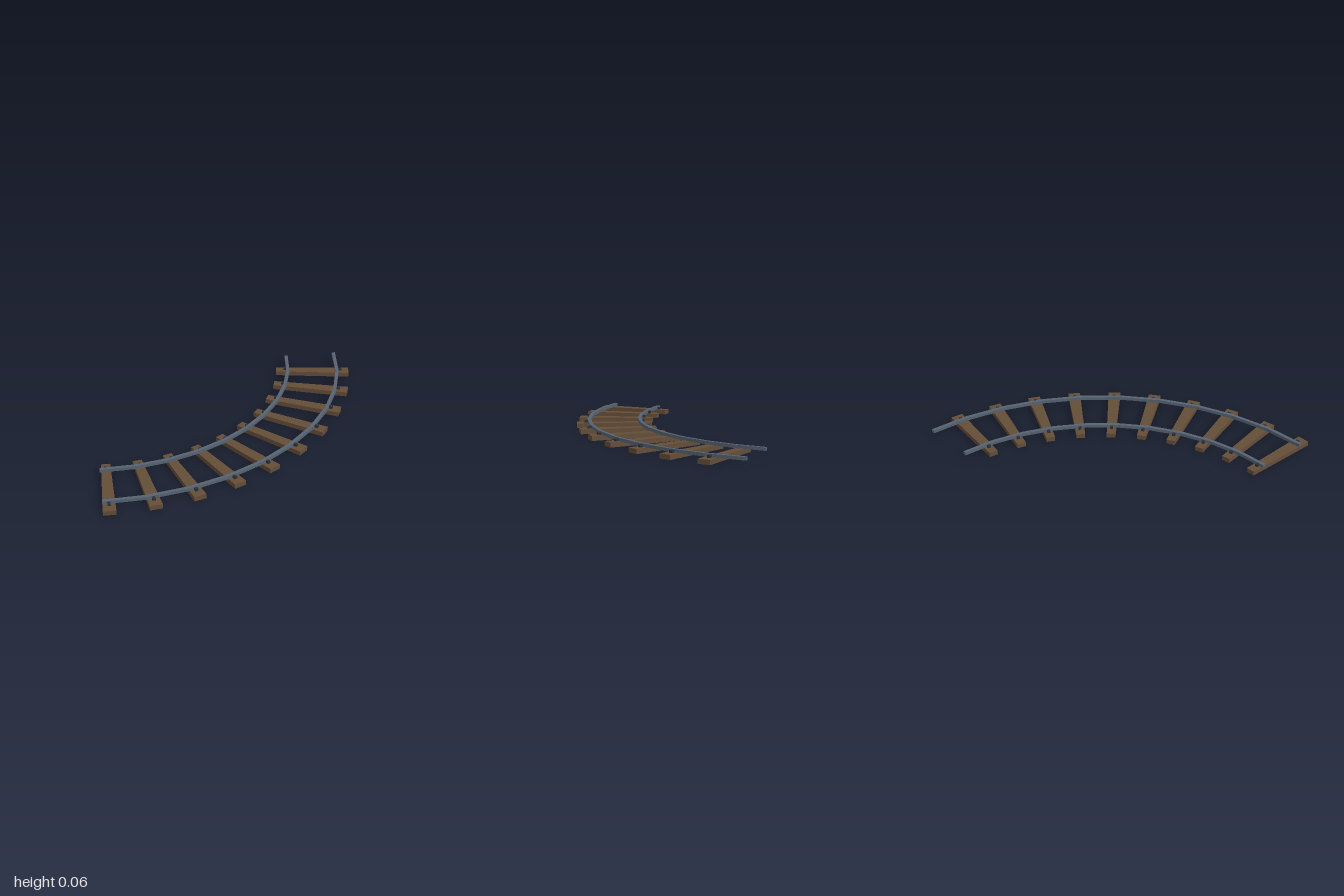
import * as THREE from 'three';

const CENTRE = { x: -0.955, z: -1.005 }; // centre of the bend
const STEP = THREE.MathUtils.degToRad(9);
const SLEEPERS = 10;
const SLEEPER_TOP = 0.034;

// Upright prism from plan points given as [x, z]
function prism(points, height) {
  const shape = new THREE.Shape(points.map(([x, z]) => new THREE.Vector2(x, -z)));
  const geometry = new THREE.ExtrudeGeometry(shape, { depth: height, bevelEnabled: false });
  return geometry.rotateX(-Math.PI / 2);
}

// Curved rail made of straight mitred segments
function railGeometry(radius, width, height) {
  const inner = [], outer = [];
  const start = -0.045 / radius;
  for (let i = 0; i <= SLEEPERS; i++) {
    const a = start + i * STEP;
    const r0 = radius - width / 2, r1 = radius + width / 2;
    inner.unshift([Math.sin(a) * r0, Math.cos(a) * r0]);
    outer.push([Math.sin(a) * r1, Math.cos(a) * r1]);
  }
  return prism([...outer, ...inner], height);
}

export function createModel() {
  const wood = new THREE.MeshStandardMaterial({ color: 0x644d38 });
  wood.name = 'brown wood';
  const steel = new THREE.MeshStandardMaterial({ color: 0x566372 });
  steel.name = 'blue grey steel';
  const iron = new THREE.MeshStandardMaterial({ color: 0x2d3039 });
  iron.name = 'dark iron';

  const track = new THREE.Group();
  track.name = 'curvedTrack';
  const bend = new THREE.Group();
  bend.name = 'bend';
  bend.position.set(CENTRE.x, 0, CENTRE.z);
  track.add(bend);

  const add = (parent, name, geometry, material, y, z = 0) => {
    const mesh = new THREE.Mesh(geometry, material);
    mesh.name = name;
    mesh.position.set(0, y, z);
    parent.add(mesh);
  };

  // Sleepers widen towards the outside; each carries two rail spikes
  const sleeper = prism([[-0.032, 1.405], [-0.045, 1.972], [0.045, 1.972], [0.032, 1.405]], SLEEPER_TOP);
  const spike = new THREE.BoxGeometry(0.022, 0.018, 0.032);
  for (let i = 0; i < SLEEPERS; i++) {
    const tie = new THREE.Group();
    tie.name = 'tie' + (i + 1);
    tie.rotation.y = i * STEP;
    add(tie, 'sleeper', sleeper, wood, 0);
    add(tie, 'innerSpike', spike, iron, SLEEPER_TOP + 0.009, 1.48);
    add(tie, 'outerSpike', spike, iron, SLEEPER_TOP + 0.009, 1.9);
    bend.add(tie);
  }

  // Rails
  add(bend, 'innerRail', railGeometry(1.498, 0.025, 0.023), steel, 0.035);
  add(bend, 'outerRail', railGeometry(1.881, 0.025, 0.023), steel, 0.035);
  return track;
}
